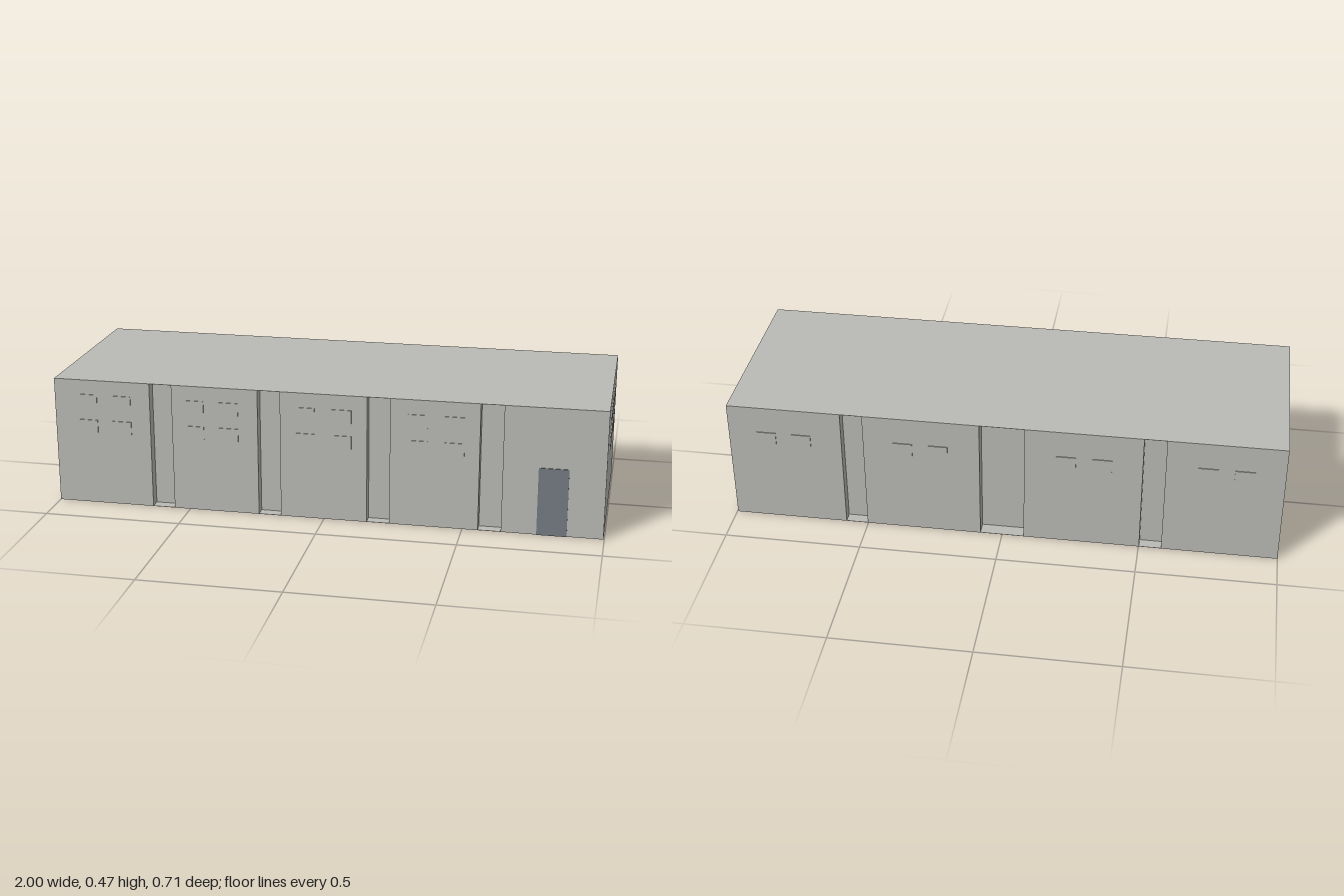
import * as THREE from 'three';

export function createModel() {
  const group = new THREE.Group();
  group.name = 'building';
  const concrete = new THREE.MeshStandardMaterial({ name: 'concrete grey', color: 0xb9bab5 });
  const steel = new THREE.MeshStandardMaterial({ name: 'steel blue grey', color: 0x747b81 });

  const X0 = -1, X1 = 0.997, Z = 0.352, H = 0.47, SLAB = 0.001, PLATE = 0.003;

  const add = (name, geometry, material) => {
    const mesh = new THREE.Mesh(geometry, material);
    mesh.name = name;
    group.add(mesh);
    return mesh;
  };
  const box = (name, material, w, h, d, x, y, z) =>
    add(name, new THREE.BoxGeometry(w, h, d), material).position.set(x, y, z);

  // Walls: footprint with vertical recesses, extruded upwards (shape y = -z)
  const frontGrooves = [-0.6, -0.2, 0.197, 0.597].map((x) => [x, 0.041, 0.04]);
  const backGrooves = [[0.542, 0.04, 0.04], [0, 0.08, 0.05], [-0.542, 0.04, 0.04]];
  const outline = new THREE.Shape();
  outline.moveTo(X0, -Z);
  for (const [x, half, depth] of frontGrooves) {
    outline.lineTo(x - half, -Z);
    outline.lineTo(x - half, -Z + depth);
    outline.lineTo(x + half, -Z + depth);
    outline.lineTo(x + half, -Z);
  }
  outline.lineTo(X1, -Z);
  outline.lineTo(X1, Z);
  for (const [x, half, depth] of backGrooves) {
    outline.lineTo(x + half, Z);
    outline.lineTo(x + half, Z - depth);
    outline.lineTo(x - half, Z - depth);
    outline.lineTo(x - half, Z);
  }
  outline.lineTo(X0, Z);
  outline.closePath();
  const walls = new THREE.ExtrudeGeometry(outline, { depth: H - 2 * SLAB, bevelEnabled: false });
  walls.rotateX(-Math.PI / 2);
  walls.translate(0, SLAB, 0);
  add('walls', walls, concrete);

  // Thin roof and floor sheets that close the recesses
  const midX = (X0 + X1) / 2;
  box('roof', concrete, X1 - X0, SLAB, 2 * Z, midX, H - SLAB / 2, 0);
  box('floor', concrete, X1 - X0, SLAB, 2 * Z, midX, SLAB / 2, 0);

  // Front windows: two rows of pairs
  for (const y of [0.392, 0.296]) {
    for (const x of [-0.875, -0.748, -0.475, -0.348, -0.068, 0.065, 0.337, 0.467]) {
      box('frontWindow', concrete, 0.07, 0.048, PLATE, x, y, Z + PLATE / 2);
    }
    // Side windows, each made of two panes
    for (const z of [-0.142, -0.068, 0.068, 0.142]) {
      box('sideWindow', concrete, PLATE, 0.048, 0.074, X1 + PLATE / 2, y, z);
    }
  }

  // Back windows: one row of pairs
  for (const side of [-1, 1]) {
    for (const x of [0.23, 0.358, 0.73, 0.858]) {
      box('backWindow', concrete, 0.07, 0.048, PLATE, side * x, 0.344, -Z - PLATE / 2);
    }
  }

  // Door in two stacked panels
  for (const y of [0.0625, 0.1875]) {
    box('doorPanel', steel, 0.106, 0.125, PLATE, 0.816, y, Z + PLATE / 2);
  }
  return group;
}
